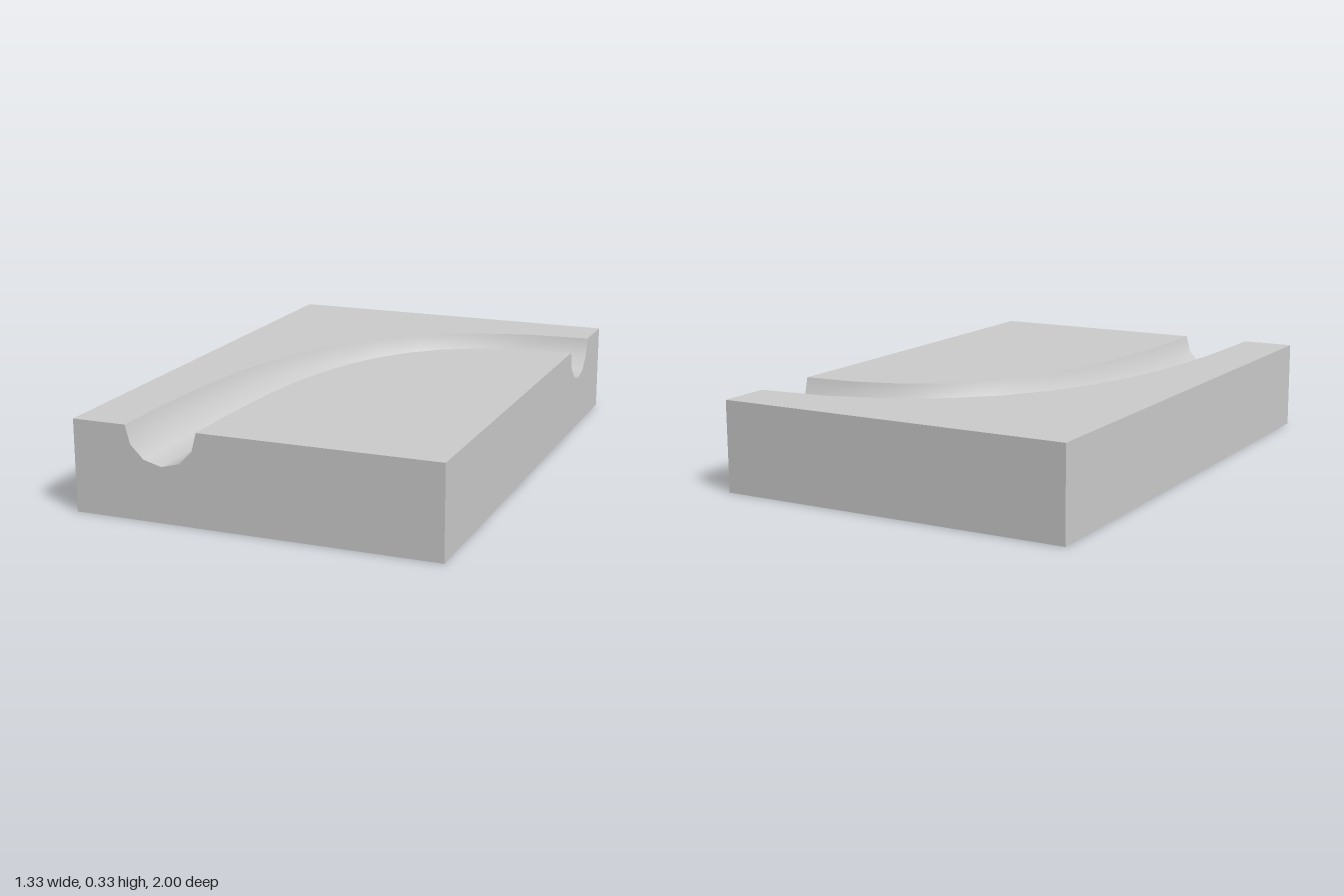
import * as THREE from 'three';
import { mergeGeometries } from 'three/addons/utils/BufferGeometryUtils.js';

const X = 2 / 3, Z = 1, H = 1 / 3;      // half width, half length, height
const R = 2 / 15;                       // groove radius
const STEPS = 12, SIDES = 6;

const v2 = (x, y) => new THREE.Vector2(x, y);
const flat = (points) => new THREE.ShapeGeometry(new THREE.Shape(points));

// Half-round cross-sections along the bend, each from outer to inner lip
function grooveSections() {
  const path = new THREE.CubicBezierCurve(v2(-1 / 3, 1), v2(-1 / 3, 1 / 3), v2(-1 / 3, -X), v2(X, -X));
  const sections = [];
  for (let i = 0; i <= STEPS; i++) {
    const p = path.getPoint(i / STEPS), t = path.getTangent(i / STEPS);
    const section = [];
    for (let j = 0; j <= SIDES; j++) {
      const a = (Math.PI * j) / SIDES, d = R * Math.cos(a);
      section.push(new THREE.Vector3(p.x + t.y * d, H - R * Math.sin(a), p.y - t.x * d));
    }
    sections.push(section);
  }
  return sections;
}

// Smooth surface through the cross-sections
function loft(sections) {
  const n = SIDES + 1, index = [];
  for (let i = 0; i < STEPS; i++) {
    for (let j = 0; j < SIDES; j++) {
      const a = i * n + j;
      index.push(a, a + 1, a + n, a + 1, a + n + 1, a + n);
    }
  }
  const geometry = new THREE.BufferGeometry().setFromPoints(sections.flat());
  geometry.setIndex(index);
  geometry.computeVertexNormals();
  return geometry;
}

export function createModel() {
  const group = new THREE.Group();
  const material = new THREE.MeshStandardMaterial({ color: 0xcccccc });
  const add = (name, geometry) => {
    const mesh = new THREE.Mesh(geometry, material);
    mesh.name = name;
    group.add(mesh);
  };

  const sections = grooveSections();
  const first = sections[0], last = sections[STEPS];
  add('groove', loft(sections));

  // Top surface on both sides of the groove
  const lip = (j) => sections.map((s) => v2(s[j].x, -s[j].z));
  const outerTop = flat([...lip(0), v2(X, Z), v2(-X, Z), v2(-X, -Z)]);
  const innerTop = flat([...lip(SIDES), v2(X, -Z)]);
  add('topSurface', mergeGeometries([outerTop, innerTop]).rotateX(-Math.PI / 2).translate(0, H, 0));

  // Two sides notched by the groove ends
  const frontNotch = first.map((p) => v2(p.x, p.y)).reverse();
  add('frontSide', flat([v2(-X, 0), v2(X, 0), v2(X, H), ...frontNotch, v2(-X, H)]).translate(0, 0, Z));
  const sideNotch = last.map((p) => v2(-p.z, p.y));
  add('leftSide', flat([v2(-Z, 0), v2(Z, 0), v2(Z, H), ...sideNotch, v2(-Z, H)])
    .rotateY(Math.PI / 2).translate(X, 0, 0));

  // Plain sides and underside
  add('backSide', new THREE.PlaneGeometry(2 * X, H).rotateY(Math.PI).translate(0, H / 2, -Z));
  add('rightSide', new THREE.PlaneGeometry(2 * Z, H).rotateY(-Math.PI / 2).translate(-X, H / 2, 0));
  add('underside', new THREE.PlaneGeometry(2 * X, 2 * Z).rotateX(Math.PI / 2));

  return group;
}
